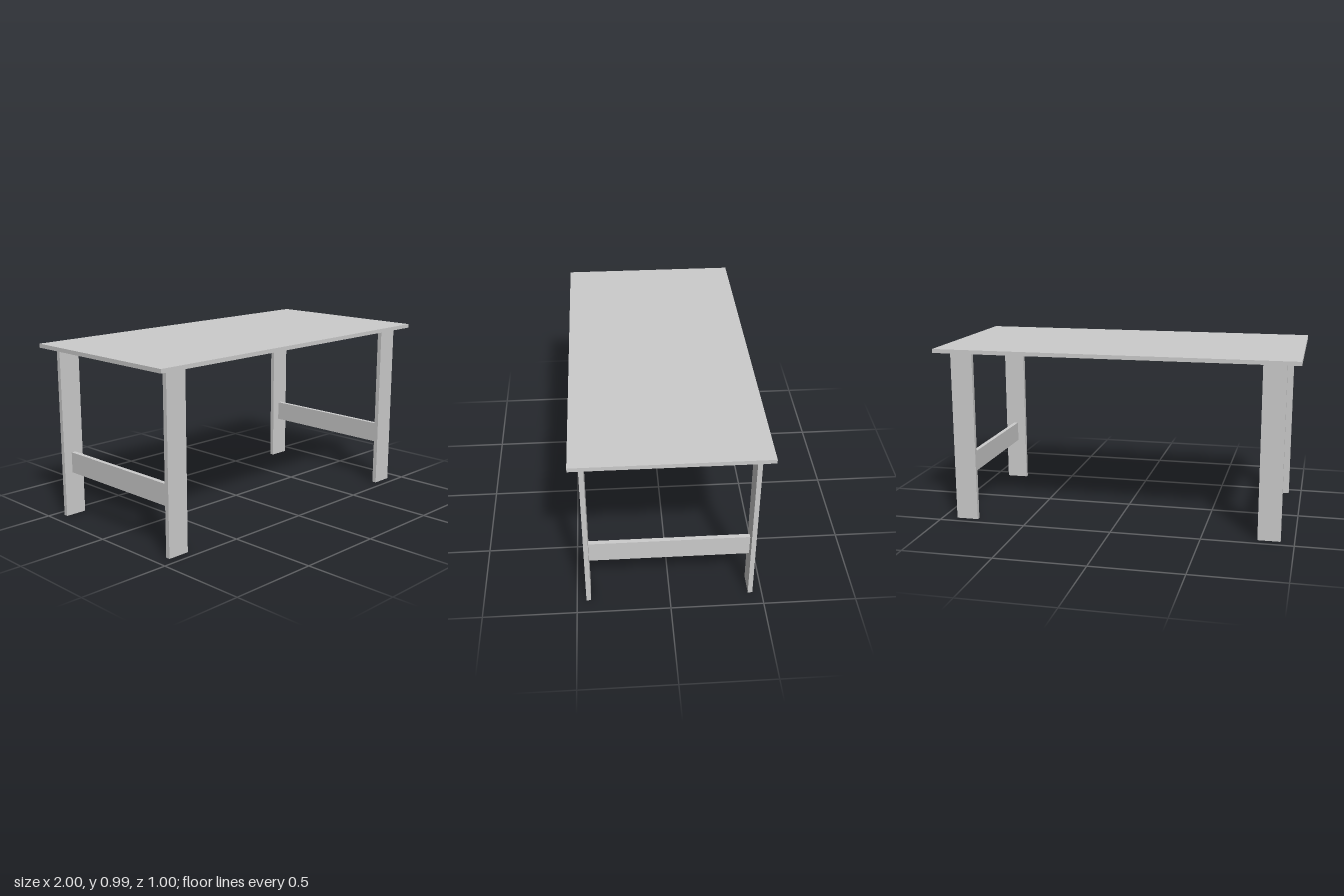
import * as THREE from 'three';

export function createModel() {
  const table = new THREE.Group();
  table.name = 'table';
  const material = new THREE.MeshStandardMaterial({ color: 0xcccccc });

  const legHeight = 0.963;
  const legWidth = 0.124;
  const board = 0.025; // thickness of legs and stretchers

  function addBoard(name, w, h, d, x, y, z) {
    const mesh = new THREE.Mesh(new THREE.BoxGeometry(w, h, d), material);
    mesh.name = name;
    mesh.position.set(x, y, z);
    table.add(mesh);
  }

  // Table top
  addBoard('tableTop', 2, 0.022, 1, 0, legHeight + 0.011, 0);

  // Each end: two flat legs joined by a stretcher (ends sit slightly off centre)
  for (const [side, x] of [['left', 0.854], ['right', -0.864]]) {
    addBoard(side + 'FrontLeg', legWidth, legHeight, board, x, legHeight / 2, 0.4375);
    addBoard(side + 'BackLeg', legWidth, legHeight, board, x, legHeight / 2, -0.4375);
    addBoard(side + 'Stretcher', board, 0.117, 0.85, x, 0.306, 0);
  }

  return table;
}
